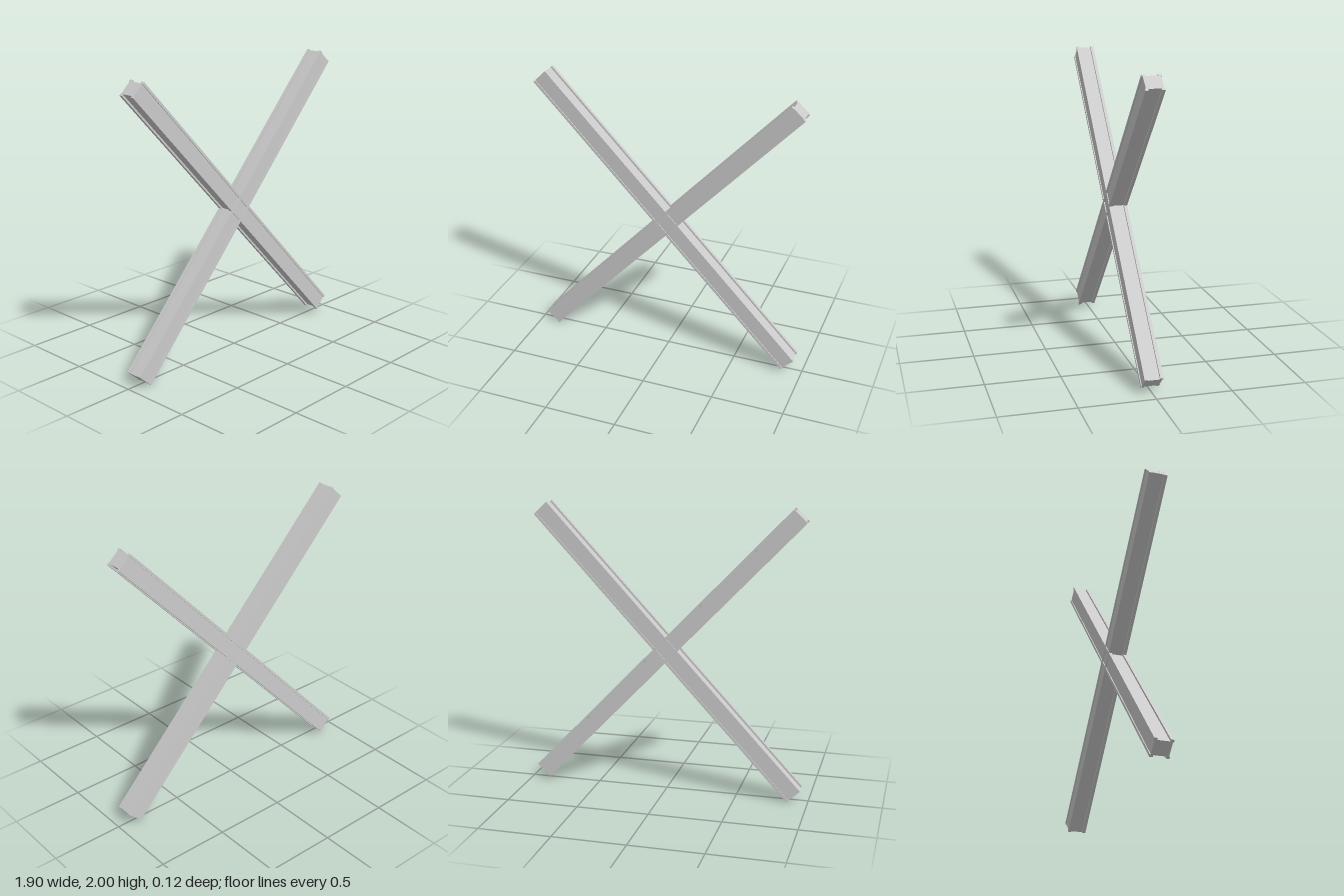
import * as THREE from 'three';

const HALF = 0.0625;      // half of the square section
const RIM = 0.017;        // width of the corner rails, seen from the front
const FLANGE = 0.022;     // thickness of the corner rails, seen from the side
const FACE_RECESS = 0.006;
const SIDE_RECESS = 0.013;

// Square section with a shallow channel along each of its four sides.
function beamSection() {
  const quarter = [
    [HALF - SIDE_RECESS, HALF - FLANGE],
    [HALF, HALF - FLANGE],
    [HALF, HALF],
    [HALF - RIM, HALF],
    [HALF - RIM, HALF - FACE_RECESS],
  ];
  const mirrored = (sx, sy) => quarter.map(([x, y]) => new THREE.Vector2(x * sx, y * sy));
  return new THREE.Shape([
    ...mirrored(1, 1),
    ...mirrored(-1, 1).reverse(),
    ...mirrored(-1, -1),
    ...mirrored(1, -1).reverse(),
  ]);
}

// Beam between the centres of its two ends, lying in the x-y plane.
function makeBeam(name, from, to, material) {
  const start = new THREE.Vector3(...from, 0);
  const along = new THREE.Vector3(...to, 0).sub(start);
  const geometry = new THREE.ExtrudeGeometry(beamSection(), {
    depth: along.length(),
    bevelEnabled: false,
  });
  along.normalize();
  const front = new THREE.Vector3(0, 0, 1);
  const across = new THREE.Vector3().crossVectors(front, along);
  geometry.applyMatrix4(new THREE.Matrix4().makeBasis(across, front, along).setPosition(start));
  const beam = new THREE.Mesh(geometry, material);
  beam.name = name;
  return beam;
}

export function createModel() {
  const group = new THREE.Group();
  group.name = 'crossBrace';
  const material = new THREE.MeshStandardMaterial({ color: 0xcccccc, flatShading: true });
  group.add(
    makeBeam('risingBeam', [-0.903, 0.043], [0.876, 1.957], material),
    makeBeam('fallingBeam', [-0.898, 1.957], [0.902, 0.067], material),
  );
  return group;
}
